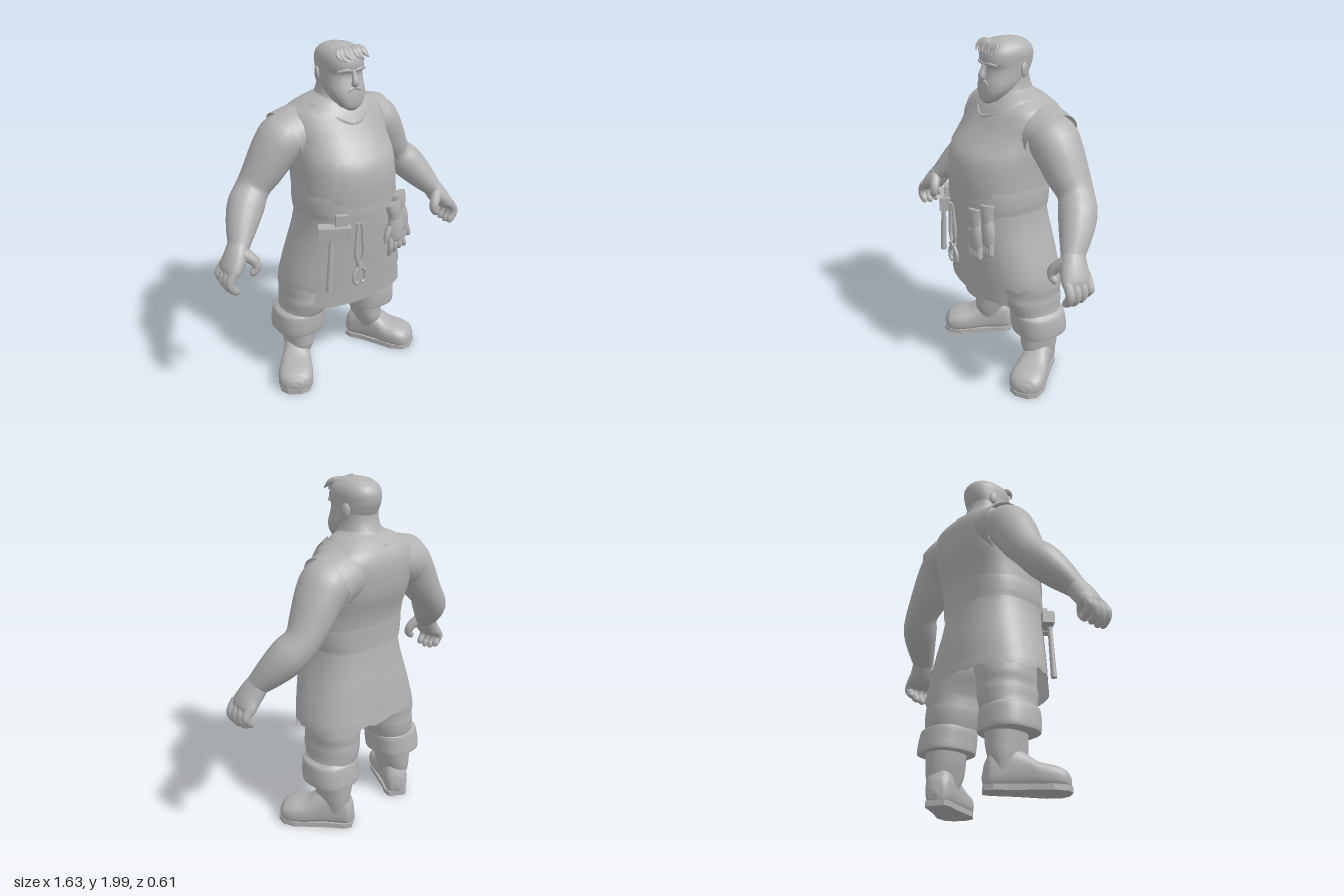
import * as THREE from 'three';

const V = (x, y, z) => new THREE.Vector3(x, y, z);
const grey = new THREE.MeshStandardMaterial({ color: 0xb2b2b2, side: THREE.DoubleSide });
grey.name = 'grey clay';

// Skin a list of rings (arrays of points), with optional flat caps
function loft(rings, caps = true) {
  const n = rings[0].length, pos = [], idx = [];
  rings.forEach(r => r.forEach(p => pos.push(p.x, p.y, p.z)));
  for (let i = 0; i < rings.length - 1; i++) for (let j = 0; j < n; j++) {
    const a = i * n + j, b = i * n + (j + 1) % n;
    idx.push(a, b, a + n, b, b + n, a + n);
  }
  if (caps) [rings[0], rings[rings.length - 1]].forEach((r, end) => {
    const base = pos.length / 3, c = V(0, 0, 0);
    r.forEach(p => { pos.push(p.x, p.y, p.z); c.addScaledVector(p, 1 / n); });
    pos.push(c.x, c.y, c.z);
    for (let j = 0; j < n; j++) {
      const k = base + (j + 1) % n;
      if (end) idx.push(base + j, k, base + n);
      else idx.push(k, base + j, base + n);
    }
  });
  const g = new THREE.BufferGeometry();
  g.setAttribute('position', new THREE.Float32BufferAttribute(pos, 3));
  g.setIndex(idx);
  g.computeVertexNormals();
  return g;
}

// Smoothly resample rows of numbers
function spline(a, b, c, d, t) {
  const cubic = 3 * (b - c) + d - a;
  const square = 2 * a - 5 * b + 4 * c - d;
  return b + 0.5 * t * (c - a + t * (square + t * cubic));
}
function smooth(rows, k = 4) {
  const out = [], at = i => rows[Math.max(0, Math.min(rows.length - 1, i))];
  for (let i = 0; i < rows.length - 1; i++) for (let s = 0; s < k; s++) {
    const t = s / k, [a, b, c, d] = [at(i - 1), at(i), at(i + 1), at(i + 2)];
    out.push(b.map((v, m) => (m === 0 ? v + (c[0] - v) * t : spline(a[m], v, c[m], d[m], t))));
  }
  return [...out, rows[rows.length - 1]];
}

// Upright body from rows [y, centre x, half width, back z, front z]
const pw = (v, p) => Math.sign(v) * Math.abs(v) ** (2 / p);
function stack(rows, { s = 1, pf = 2.2, pb = 2.2, caps = true, n = 32, hem } = {}) {
  return loft(smooth(rows).map(([y, cx, w, lo, hi]) => Array.from({ length: n }, (_, j) => {
    const t = j / n * Math.PI * 2, z = -Math.sin(t), p = z > 0 ? pf : pb;
    return V(s * cx + w * pw(Math.cos(t), p), hem ? hem(y, j) : y, (lo + hi) / 2 + (hi - lo) / 2 * pw(z, p));
  })), caps);
}

// Limb along points [x, y, z, radius, radius across]
function limb(pts, s = 1, n = 14, caps = true) {
  const rows = smooth(pts.map((p, i) => [i, p[0] * s, p[1], p[2], p[3], p[4] ?? p[3]]));
  const P = rows.map(r => V(r[1], r[2], r[3]));
  return loft(rows.map((r, i) => {
    const t = P[Math.min(i + 1, P.length - 1)].clone().sub(P[Math.max(i - 1, 0)]).normalize();
    const u = V(0, 0, 1).cross(t).normalize(), v = t.clone().cross(u);
    return Array.from({ length: n }, (_, j) => {
      const a = j / n * Math.PI * 2;
      return P[i].clone().addScaledVector(u, r[4] * Math.cos(a)).addScaledVector(v, r[5] * Math.sin(a));
    });
  }), caps);
}

// Cloth lying on the front of a stacked body, between left(v) and right(v)
function cloth(rows, y0, y1, left, right, off, n = 14) {
  const dense = smooth(rows), g = new THREE.PlaneGeometry(1, 1, n, n), p = g.attributes.position;
  for (let i = 0; i < p.count; i++) {
    const u = p.getX(i) + 0.5, v = p.getY(i) + 0.5;
    const y = y0 + (y1 - y0) * v, x = left(v) + (right(v) - left(v)) * u;
    const k = Math.max(0, dense.findIndex(r => r[0] >= y) - 1);
    const f = (y - dense[k][0]) / (dense[k + 1][0] - dense[k][0]);
    const [, , w, lo, hi] = dense[k].map((a, m) => a + (dense[k + 1][m] - a) * f);
    const h = Math.max(0, 1 - Math.abs(x / w) ** 2.2) ** (1 / 2.2);
    p.setXYZ(i, x, y, (lo + hi) / 2 + (hi - lo) / 2 * h + off);
  }
  g.computeVertexNormals();
  return g;
}

export function createModel() {
  const model = new THREE.Group();
  const add = (name, geo, pos = [0, 0, 0], rotY = 0) => {
    const m = new THREE.Mesh(geo, grey);
    m.name = name;
    m.position.set(...pos);
    m.rotation.y = rotY;
    model.add(m);
    return m;
  };

  // Torso and skirt
  const torso = [[1.08, 0, .275, -.22, .262], [1.14, 0, .275, -.222, .268], [1.2, 0, .285, -.23, .272], [1.3, 0, .285, -.25, .272],
    [1.4, 0, .287, -.285, .25], [1.5, 0, .285, -.3, .175], [1.58, 0, .29, -.298, .12], [1.64, 0, .265, -.275, .085],
    [1.69, 0, .185, -.225, .05], [1.73, 0, .11, -.17, .02]];
  const skirt = [[.55, 0, .4, -.3, .22], [.65, 0, .382, -.29, .228], [.72, 0, .37, -.28, .236], [.85, 0, .335, -.265, .25],
    [1, 0, .295, -.24, .264], [1.13, 0, .28, -.225, .272]];
  add('shirt', stack(torso, { pb: 3, n: 48 }));
  add('skirt', stack(skirt.slice(1), { pb: 2.6, caps: false, n: 48, hem: (y, j) => (y < .66 ? y + .01 * Math.sin(j * 2.1) : y) }));
  add('apronFront', cloth(skirt, .55, 1.12, v => -.31 + .1 * v, v => .31 - .1 * v, .006));
  add('apronBib', cloth(torso, 1.12, 1.51, v => -.24 + .07 * v, v => .24 - .07 * v, .008));
  add('waistFold', stack([[1.09, 0, .284, -.23, .276], [1.13, 0, .289, -.231, .279], [1.19, 0, .29, -.234, .278], [1.23, 0, .286, -.236, .274]], { pb: 2.9, caps: false, n: 48 }));
  add('collar', new THREE.TubeGeometry(new THREE.CatmullRomCurve3([V(0, 1.585, .112), V(.09, 1.62, .08), V(.145, 1.68, -.02),
    V(.13, 1.69, -.15), V(0, 1.66, -.25), V(-.13, 1.69, -.15), V(-.145, 1.68, -.02), V(-.09, 1.62, .08)], true), 48, .01, 6, true));

  // Neck and head
  add('neck', stack([[1.6, 0, .19, -.26, .1], [1.67, 0, .155, -.225, .065], [1.72, 0, .118, -.188, .045], [1.78, 0, .104, -.165, .03], [1.86, 0, .1, -.16, 0]]));
  add('head', stack([[1.655, 0, .025, .055, .098], [1.675, 0, .06, .01, .112], [1.72, 0, .093, -.05, .115], [1.76, 0, .107, -.11, .11],
    [1.8, 0, .11, -.155, .098], [1.845, 0, .111, -.178, .088], [1.88, 0, .113, -.19, .104], [1.92, 0, .113, -.19, .1],
    [1.955, 0, .1, -.172, .08], [1.983, 0, .07, -.13, .04], [1.994, 0, .025, -.075, -.005]], { pf: 2.6 }));
  add('nose', limb([[0, 1.875, .092, .012], [0, 1.84, .104, .014], [0, 1.805, .113, .02], [0, 1.792, .1, .015]]));
  for (let i = 0; i < 7; i++) {
    const x = -.085 + i * .028, w = .02 * (i % 2);
    add('hairTuft', limb([[x * .5, 1.972, .03, .012, .006], [x * .85, 1.966, .062, .02, .012], [x, 1.945 - w * .5, .086, .014, .008],
      [x + .012, 1.927 - w * .5, .1, .003]], 1, 8));
  }

  for (const s of [1, -1]) {
    // Face details
    add('brow', limb([[.012, 1.867, .097, .008], [.045, 1.874, .097, .01], [.085, 1.866, .073, .007]], s, 8));
    add('moustache', limb([[0, 1.779, .103, .009], [.025, 1.771, .102, .011], [.05, 1.752, .098, .007]], s, 8));
    add('ear', new THREE.SphereGeometry(1, 12, 8).scale(.013, .04, .026), [s * .112, 1.835, -.08], s * .35);

    // Straps and shoulder flaps
    add('strap', cloth(torso, 1.42, 1.69, v => s * (.16 - .008 * v) - .045 + .012 * v, v => s * (.16 - .008 * v) + .045 - .012 * v, .016));
    add('shoulderFlap', limb([[.1, 1.57, -.13, .11, .13], [.2, 1.535, -.13, .135, .16], [.3, 1.5, -.13, .146, .165]], s, 24, false));

    // Arms
    add('arm', limb([[.2, 1.54, -.13, .09, .12], [.3, 1.505, -.13, .13, .14], [.36, 1.44, -.135, .125, .135], [.425, 1.34, -.145, .11, .12],
      [.495, 1.245, -.15, .092, .1], [.56, 1.17, -.115, .1, .105], [.62, 1.09, -.06, .085, .09], [.675, 1.01, 0, .058, .065], [.69, .985, .01, .05, .06]], s, 20));
    add('palm', limb([[.665, 1.03, -.01, .055, .062], [.715, .95, .02, .056, .08], [.755, .9, .028, .043, .09], [.775, .875, .03, .022, .082]], s, 16));
    [-.062, -.02, .022, .063].forEach((z, i) => {
      const d = [.025, .005, 0, .008][i];
      add('finger', limb([[.752, .915, .03 + z, .026], [.785, .865, .032 + z, .026], [.782, .82 + d, .034 + z, .025],
        [.755, .788 + d, .034 + z, .021], [.74, .78 + d, .034 + z, .009]], s, 10));
    });
    add('thumb', limb([[.68, .985, .05, .036], [.634, .94, .082, .03], [.625, .9, .092, .025], [.65, .872, .088, .02], [.662, .865, .086, .008]], s, 10));

    // Legs
    add('trouserLeg', stack([[.4, .25, .135, -.235, .045], [.46, .235, .137, -.245, .07], [.52, .228, .142, -.25, .088], [.56, .225, .141, -.247, .083],
      [.62, .222, .148, -.25, .082], [.74, .185, .165, -.235, .1], [.9, .14, .14, -.19, .1]], { s }));
    add('trouserCuff', stack([[.298, .262, .135, -.245, .035], [.305, .264, .148, -.26, .05], [.36, .262, .15, -.256, .056],
      [.43, .255, .147, -.245, .055], [.448, .25, .125, -.23, .04]], { s, pf: 2.5, pb: 2.5 }));

    // Boots: shaft, foot lofted from heel to toe, and a shaped sole
    add('bootShaft', stack([[.1, .265, .062, -.21, -.03], [.18, .26, .078, -.228, 0], [.24, .254, .09, -.232, .002], [.36, .25, .105, -.235, .005]], { s }));
    const foot = stack([[-.128, 0, .008, -.08, -.06], [-.118, 0, .045, -.14, -.02], [-.09, 0, .068, -.2, -.008], [0, 0, .075, -.235, -.006], [.08, 0, .083, -.2, -.006],
      [.15, 0, .098, -.155, -.006], [.23, 0, .103, -.137, -.006], [.285, 0, .087, -.115, -.008], [.31, 0, .05, -.085, -.02], [.318, 0, .01, -.06, -.045]], { pf: 3, pb: 2.4 });
    add('boot', foot.rotateX(Math.PI / 2), [s * .265, 0, -.12], s * .6);
    const half = [[.05, .122], [.07, .08], [.072, 0], [.085, -.1], [.103, -.21], [.085, -.285], [.04, -.318]];
    const outline = [...half, ...half.map(([x, y]) => [-x, y]).reverse()].map(p => new THREE.Vector2(...p));
    const sole = new THREE.ExtrudeGeometry(new THREE.Shape(outline), { depth: .03, bevelEnabled: false });
    add('bootSole', sole.rotateX(-Math.PI / 2), [s * .265, 0, -.12], s * .6);
  }

  // Hammer hanging from the waist
  add('hammerHead', new THREE.BoxGeometry(.13, .07, .07), [-.235, 1.045, .215], -.55);
  add('hammerFace', new THREE.BoxGeometry(.06, .08, .08), [-.165, 1.045, .258], -.55);
  add('hammerHandle', new THREE.CylinderGeometry(.013, .018, .34, 10), [-.25, .865, .235]).rotation.z = -.06;
  add('toolLoop', new THREE.BoxGeometry(.07, .07, .03), [-.18, 1.11, .245], -.45);

  // Tongs
  for (const s of [1, -1]) {
    const path = [[.012, 1.08], [.022, .98], [.026, .88], [0, .82], [-.038, .77], [-.036, .72], [-.014, .705]];
    add('tongsArm', limb(path.map(([x, y]) => [-.077 + s * x, y, .272, .011]), 1, 8));
  }
  add('tongsRivet', new THREE.CylinderGeometry(.018, .018, .03, 12), [-.077, .82, .274]).rotation.x = Math.PI / 2;

  // Pair of gloves tucked into the waist
  for (const [dx, dy, dz] of [[-.005, 0, 0], [.055, .035, -.035]]) {
    const at = p => p.map(([x, y, z, ...r]) => [x + dx, y + dy, z + dz, ...r]);
    add('gloveCuff', limb(at([[.16, 1.13, .255, .055, .035], [.167, 1.09, .262, .044, .034], [.175, 1.04, .264, .036, .03]])));
    add('gloveHand', limb(at([[.173, 1.06, .262, .034, .028], [.18, .99, .266, .05, .034], [.182, .92, .268, .05, .03], [.182, .9, .268, .04, .02]])));
    for (let i = 0; i < 4; i++) add('gloveFinger', limb(at([[.145 + i * .025, .93, .27, .016],
      [.138 + i * .031, .87, .28, .017], [.134 + i * .034, .815 + .016 * i, .27, .009]]), 1, 8));
    add('gloveThumb', limb(at([[.14, 1, .268, .02], [.113, .95, .275, .018], [.105, .905, .275, .01]]), 1, 8));
  }
  return model;
}
